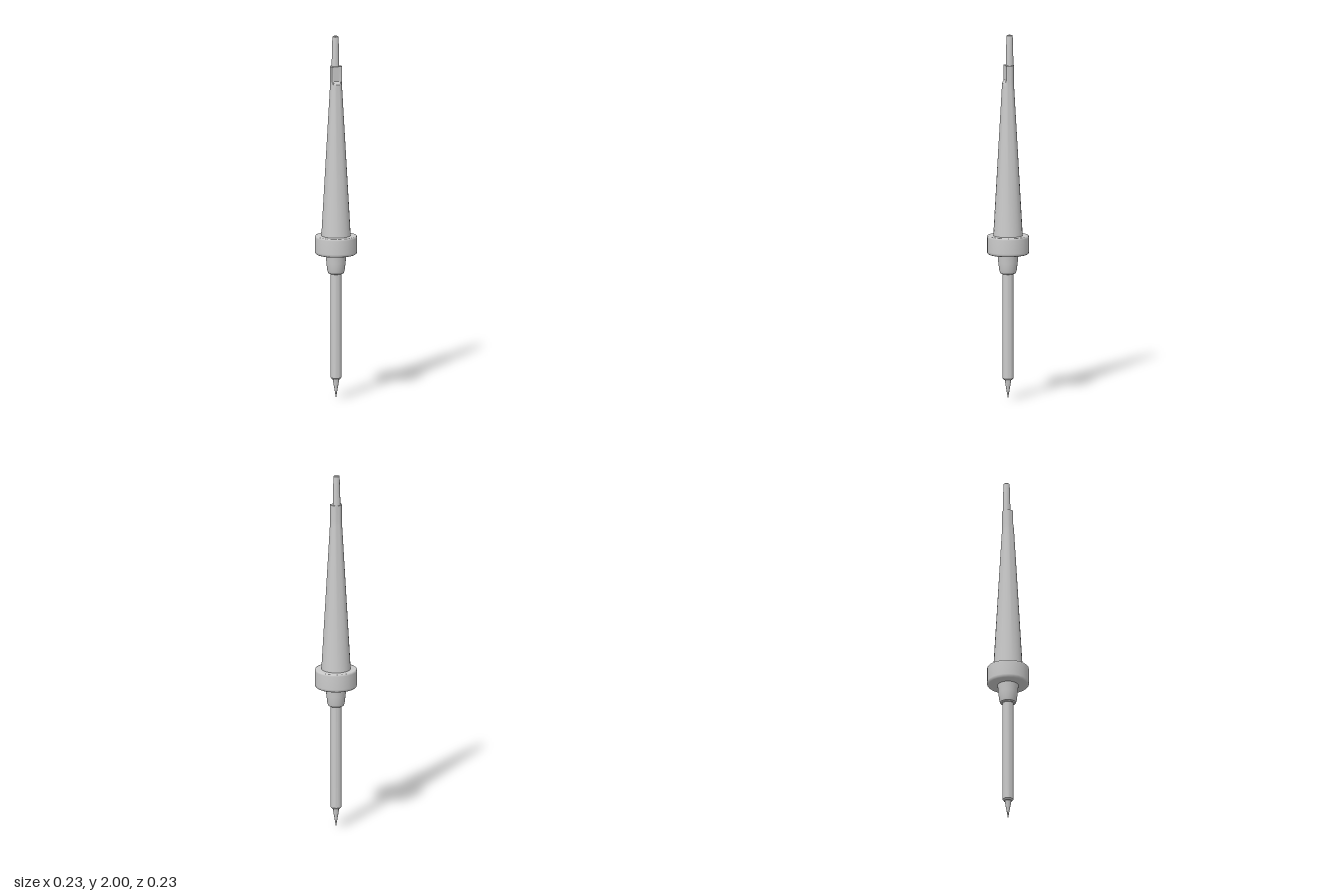
import * as THREE from 'three';
import { toCreasedNormals } from 'three/addons/utils/BufferGeometryUtils.js';

const material = new THREE.MeshStandardMaterial({ color: 0xcccccc });

// Lathe from [radius, y] pairs listed bottom to top
function lathe(profile, sides) {
  return new THREE.LatheGeometry(profile.map(([r, y]) => new THREE.Vector2(r, y)), sides);
}

export function createModel() {
  const group = new THREE.Group();
  const add = (name, geometry) => {
    const mesh = new THREE.Mesh(geometry, material);
    mesh.name = name;
    group.add(mesh);
    return mesh;
  };
  const crease = (geometry) => toCreasedNormals(geometry, 0.55);

  // Pointed tip
  add('tip', crease(lathe([[0, 0], [0.004, 0.025], [0.017, 0.1], [0.018, 0.115]], 16)));

  // Long heating shaft with a small chamfer at the end
  add('shaft', crease(lathe([[0, 0.107], [0.022, 0.107], [0.029, 0.116], [0.029, 0.7]], 20)));

  // Tapered neck below the collar
  add('neck', crease(lathe(
    [[0, 0.69], [0.036, 0.69], [0.043, 0.695], [0.048, 0.712], [0.052, 0.75], [0.058, 0.805]], 24)));

  // Wide guard collar with softened rims
  add('collar', lathe(
    [[0, 0.798], [0.09, 0.798], [0.107, 0.799], [0.113, 0.804], [0.115, 0.815],
      [0.115, 0.89], [0.113, 0.899], [0.107, 0.901], [0.07, 0.901]], 24));

  // Tapered grip, cut flat on the front near the top
  const grip = lathe(
    [[0.08, 0.895], [0.033, 1.72], [0.0325, 1.737], [0.0325, 1.754], [0.0325, 1.835], [0, 1.835]], 24);
  const p = grip.attributes.position;
  for (let i = 0; i < p.count; i++) {
    if (p.getY(i) > 1.745) p.setZ(i, Math.min(p.getZ(i), 0.0163));
  }
  add('grip', crease(grip));

  // Cable stub, set back behind the flat
  const cable = add('cable', crease(lathe(
    [[0.0205, 1.825], [0.0205, 1.86], [0.017, 1.99], [0.0165, 1.997], [0.014, 2], [0, 2]], 20)));
  cable.position.z = -0.009;

  return group;
}
